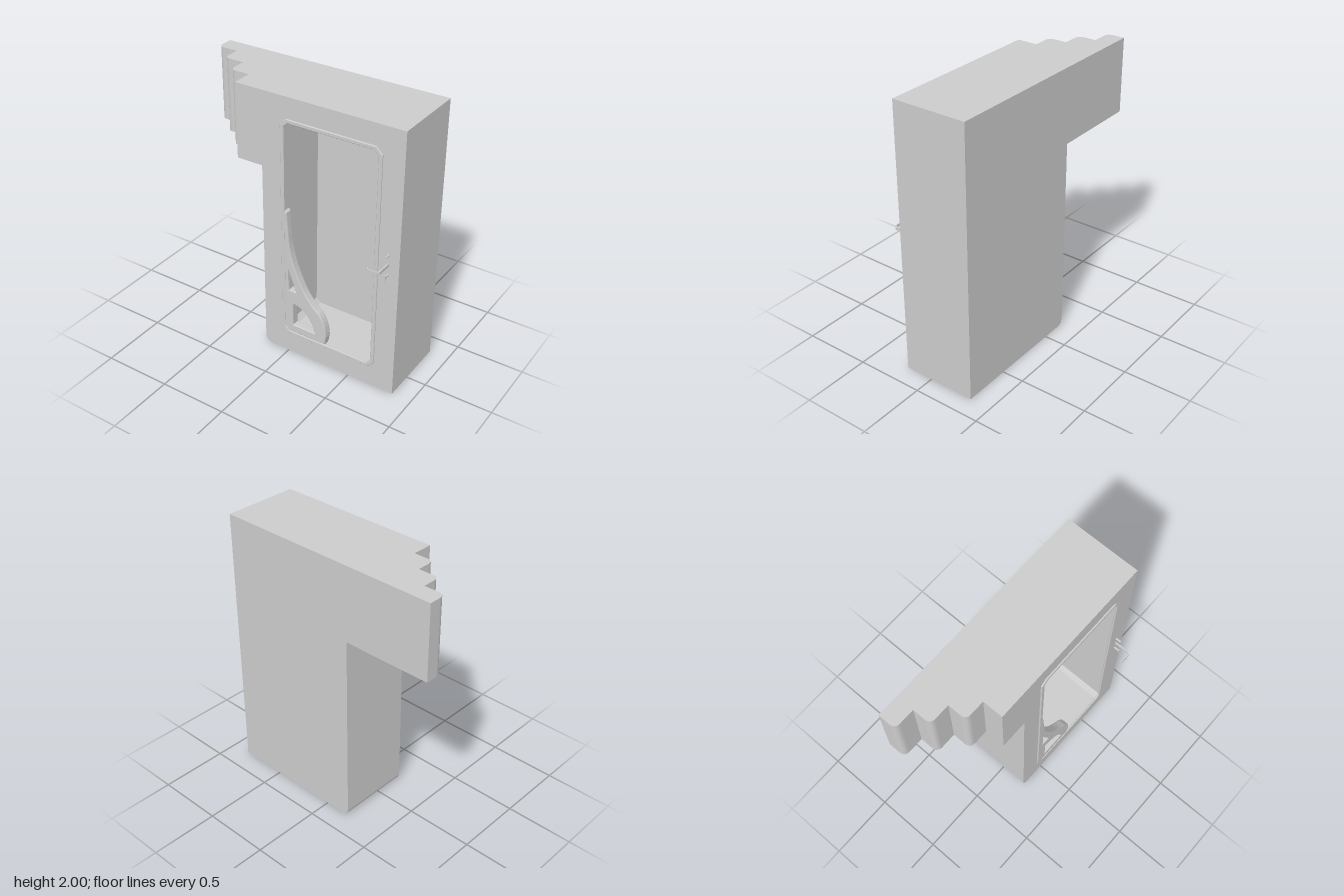
import * as THREE from 'three';

const grey = new THREE.MeshStandardMaterial({ color: 0xcccccc, side: THREE.DoubleSide });

const trace = (points, Type = THREE.Shape) => new Type(points.map(([x, y]) => new THREE.Vector2(x, y)));

// Rectangle with clipped corners
function clippedRect(x0, y0, x1, y1, c) {
  return [[x0 + c, y0], [x1 - c, y0], [x1, y0 + c], [x1, y1 - c],
    [x1 - c, y1], [x0 + c, y1], [x0, y1 - c], [x0, y0 + c]];
}

function add(group, name, geometry, x = 0, y = 0, z = 0) {
  const mesh = new THREE.Mesh(geometry, grey);
  mesh.name = name;
  mesh.position.set(x, y, z);
  group.add(mesh);
  return mesh;
}

const extrude = (shape, depth, options = {}) =>
  new THREE.ExtrudeGeometry(shape, { depth, bevelEnabled: false, curveSegments: 8, ...options });

export function createModel() {
  const model = new THREE.Group();
  model.name = 'wallRecess';

  const FRONT = 0.21, BACK = -0.34, RECESS = -0.19;

  // Main block: an open front section over a solid back section
  const outline = [[-0.16, 0], [0.855, 0], [0.855, 2], [-0.2, 2], [-0.2, 0.04], [-0.185, 0.012]];
  const frontShape = trace(outline);
  frontShape.holes.push(trace(clippedRect(-0.025, 0.18, 0.685, 1.83, 0.035), THREE.Path));
  add(model, 'frontBlock', extrude(frontShape, FRONT - RECESS), 0, 0, RECESS);
  add(model, 'backBlock', extrude(trace(outline), RECESS - BACK), 0, 0, BACK);

  // Side arm: stepped in plan, each step with a rounded corner
  const plan = new THREE.Shape();
  plan.moveTo(-0.2, BACK);
  plan.lineTo(-0.86, BACK);
  const steps = [[-0.86, -0.21], [-0.705, -0.075], [-0.55, 0.063]];
  steps.forEach(([x, z], i) => {
    plan.lineTo(x, z - 0.045);
    plan.quadraticCurveTo(x + 0.003, z, x + 0.045, z);
    plan.lineTo(i < 2 ? steps[i + 1][0] : -0.4, z);
  });
  plan.lineTo(-0.4, FRONT);
  plan.lineTo(-0.2, FRONT);
  plan.closePath();
  const armGeometry = extrude(plan, 0.545);
  armGeometry.rotateX(Math.PI / 2);
  add(model, 'steppedArm', armGeometry, 0, 2, 0);

  // Raised trim round the opening
  const trim = trace(clippedRect(-0.045, 0.16, 0.7, 1.845, 0.045));
  trim.holes.push(trace(clippedRect(-0.025, 0.18, 0.68, 1.825, 0.035), THREE.Path));
  add(model, 'openingTrim', extrude(trim, 0.006, {
    bevelEnabled: true, bevelSize: 0.004, bevelThickness: 0.004, bevelSegments: 1,
  }), 0, 0, FRONT);

  // Sweeping bracket in the lower corner, with two cut-outs
  const bracket = new THREE.Shape();
  bracket.moveTo(-0.025, 0.19);
  bracket.lineTo(0.3, 0.19);
  bracket.lineTo(0.31, 0.25);
  bracket.quadraticCurveTo(0.305, 0.36, 0.25, 0.42);
  bracket.quadraticCurveTo(0.15, 0.5, 0.1, 0.61);
  bracket.quadraticCurveTo(0.02, 0.77, 0.005, 0.92);
  bracket.lineTo(-0.014, 1.15);
  bracket.lineTo(-0.025, 1.16);
  bracket.closePath();
  bracket.holes.push(trace([[0.003, 0.53], [0.075, 0.53], [0.003, 0.715]], THREE.Path));
  const quarter = new THREE.Path();
  quarter.moveTo(0.035, 0.24);
  quarter.lineTo(0.23, 0.24);
  quarter.quadraticCurveTo(0.19, 0.42, 0.035, 0.435);
  quarter.closePath();
  bracket.holes.push(quarter);
  add(model, 'cornerBracket', extrude(bracket, 0.04, {
    bevelEnabled: true, bevelSize: 0.006, bevelThickness: 0.01, bevelSegments: 2,
  }), 0, 0, 0.165);

  // Door handle: a flat bar bent into a hook
  const handle = trace([[0.77, 0.2], [0.77, 0.318], [0.757, 0.331], [0.698, 0.331], [0.686, 0.318],
    [0.679, 0.322], [0.694, 0.339], [0.762, 0.339], [0.78, 0.322], [0.78, 0.2]]);
  const handleGeometry = extrude(handle, 0.02);
  handleGeometry.rotateX(Math.PI / 2);
  add(model, 'handle', handleGeometry, 0, 1.045, 0);

  // Small knob above the handle and turn key below it
  for (const [name, y] of [['upperKnob', 1.11], ['lowerKnob', 0.96]]) {
    const stem = new THREE.CylinderGeometry(0.008, 0.008, 0.045, 12);
    stem.rotateX(Math.PI / 2);
    add(model, name, stem, 0.775, y, 0.228);
  }
  add(model, 'turnKey', new THREE.BoxGeometry(0.012, 0.045, 0.006), 0.775, 0.955, 0.253);

  return model;
}
